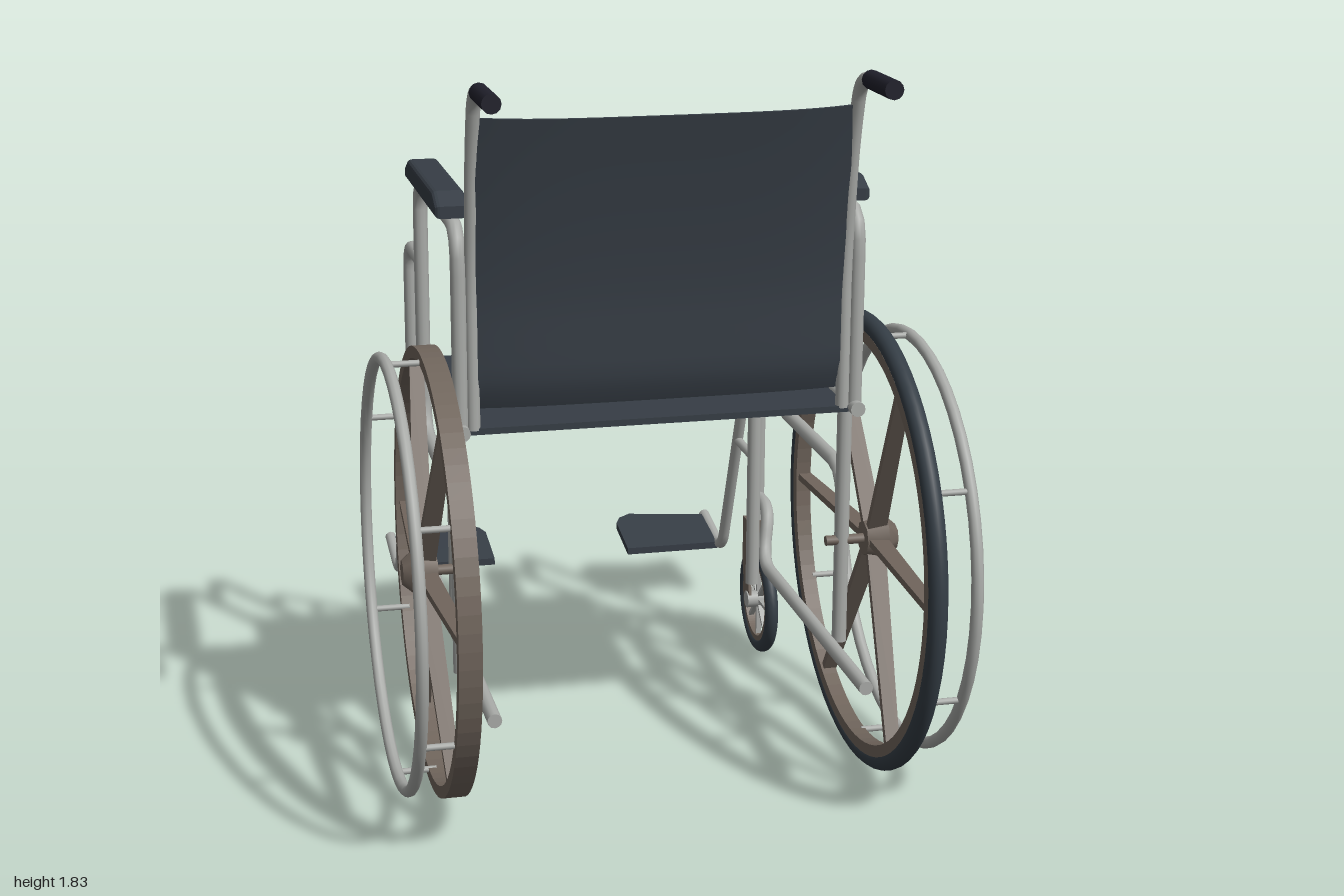
import * as THREE from 'three';

const mat = (name, color) => Object.assign(new THREE.MeshStandardMaterial({ color }), { name });

export function createModel() {
  const steel = mat('steel grey', 0xa9aba8);
  const brown = mat('brown metal', 0x70655c);
  const fabric = mat('dark fabric', 0x363d45);
  fabric.side = THREE.DoubleSide;
  const rubber = mat('rubber', 0x343d45);
  const gripMat = mat('grip black', 0x20202b);

  const model = new THREE.Group();
  model.name = 'wheelchair';
  const add = (parent, name, geo, material) => {
    const m = new THREE.Mesh(geo, material);
    m.name = name;
    parent.add(m);
    return m;
  };

  // Capped tube through points, with rounded corners of radius bend
  function tube(parent, name, pts, r = 0.019, bend = 0.07, material = steel) {
    const v = pts.map(p => new THREE.Vector3(...p));
    const path = new THREE.CurvePath();
    let prev = v[0];
    for (let i = 1; i < v.length - 1; i++) {
      const toA = v[i - 1].clone().sub(v[i]), toB = v[i + 1].clone().sub(v[i]);
      const d = Math.min(bend, toA.length() * 0.48, toB.length() * 0.48);
      const a = v[i].clone().add(toA.setLength(d)), b = v[i].clone().add(toB.setLength(d));
      path.add(new THREE.LineCurve3(prev, a));
      path.add(new THREE.QuadraticBezierCurve3(a, v[i], b));
      prev = b;
    }
    path.add(new THREE.LineCurve3(prev, v[v.length - 1]));
    const g = new THREE.Group();
    g.name = name;
    parent.add(g);
    add(g, name + 'Tube', new THREE.TubeGeometry(path, v.length > 2 ? 64 : 1, r, 12), material);
    for (const t of [0, 1]) {
      const cap = add(g, name + 'Cap', new THREE.CircleGeometry(r, 12), material);
      const dir = path.getTangentAt(t).multiplyScalar(t ? 1 : -1);
      cap.position.copy(path.getPointAt(t));
      cap.quaternion.setFromUnitVectors(new THREE.Vector3(0, 0, 1), dir);
    }
  }

  // Flat ring centred on z = 0
  function ring(outer, inner, depth) {
    const s = new THREE.Shape().absarc(0, 0, outer, 0, Math.PI * 2);
    s.holes.push(new THREE.Path().absarc(0, 0, inner, 0, Math.PI * 2, true));
    return new THREE.ExtrudeGeometry(s, { depth, bevelEnabled: false, curveSegments: 40 })
      .translate(0, 0, -depth / 2);
  }

  // Wheel groups are built with local z pointing outwards
  function wheelGroup(name, s, y, z) {
    const g = new THREE.Group();
    g.name = name;
    g.position.set(0, y, z);
    g.rotation.y = s * Math.PI / 2;
    model.add(g);
    return g;
  }

  function driveWheel(s) {
    const w = wheelGroup('driveWheel', s, 0.595, 0.41);
    const hasTyre = s > 0;
    add(w, 'rim', ring(0.555, 0.525, hasTyre ? 0.04 : 0.055), brown).position.z = hasTyre ? 0.549 : 0.553;
    if (hasTyre) add(w, 'tyre', new THREE.TorusGeometry(0.567, 0.0235, 14, 64), rubber).position.z = 0.549;
    add(w, 'handRim', new THREE.TorusGeometry(0.53, 0.015, 10, 48), steel).position.z = 0.66;
    for (let i = 0; i < 6; i++) {
      // Blade spoke leaning outwards to the hub
      const blade = new THREE.BoxGeometry(0.52, 0.018, 1).translate(0.275, 0, 0);
      const p = blade.attributes.position;
      for (let k = 0; k < p.count; k++) {
        const atHub = p.getX(k) < 0.2, out = p.getZ(k) > 0;
        p.setZ(k, atHub ? (out ? 0.605 : 0.555) : (out ? 0.57 : 0.535));
      }
      blade.computeVertexNormals();
      add(w, 'spoke', blade, brown).rotation.z = i * Math.PI / 3;
      const a = (i + 0.5) * Math.PI / 3, c = 0.53 * Math.cos(a), d = 0.53 * Math.sin(a);
      tube(w, 'handRimStrut', [[c, d, 0.56], [c, d, 0.66]], 0.008);
    }
    const cyl = (name, rOut, rIn, z0, z1, n) => add(w, name,
      new THREE.CylinderGeometry(rOut, rIn, z1 - z0, n).rotateX(Math.PI / 2).translate(0, 0, (z0 + z1) / 2), brown);
    cyl('hub', 0.058, 0.045, 0.55, 0.605, 8);
    cyl('hubCap', 0.032, 0.058, 0.605, 0.635, 8);
    cyl('axle', 0.013, 0.013, 0.45, 0.56, 12);
  }

  function caster(s) {
    const w = wheelGroup('casterWheel', s, 0.157, -0.347);
    const X = 0.493;
    add(w, 'casterTyre', new THREE.TorusGeometry(0.136, 0.019, 12, 40), rubber).position.z = X;
    add(w, 'casterRim', ring(0.122, 0.107, 0.026), brown).position.z = X;
    add(w, 'casterHub', new THREE.CylinderGeometry(0.024, 0.024, 0.075, 14).rotateX(Math.PI / 2), steel).position.z = X;
    for (let i = 0; i < 4; i++) {
      const spoke = add(w, 'casterSpoke', new THREE.BoxGeometry(0.22, 0.009, 0.014), steel);
      spoke.position.z = X;
      spoke.rotation.z = i * Math.PI / 4;
    }
    // Fork cheeks and crown
    const cheek = new THREE.Shape([[-0.018, -0.01], [0.012, -0.014], [0.04, 0.03], [0.058, 0.1], [0.058, 0.235],
      [0, 0.235], [0, 0.09], [-0.018, 0.012]].map(([z, y]) => new THREE.Vector2(z * s, y)));
    for (const o of [-0.034, 0.026]) {
      add(w, 'forkCheek', new THREE.ExtrudeGeometry(cheek, { depth: 0.008, bevelEnabled: false }), brown)
        .position.z = X + o;
    }
    add(w, 'forkCrown', new THREE.BoxGeometry(0.058, 0.06, 0.06), brown).position.set(0.029 * s, 0.205, X);
  }

  for (const s of [1, -1]) {
    driveWheel(s);
    caster(s);
    const X = 0.493 * s, P = 0.462 * s;
    const flat = (x, pts) => pts.map(([z, y]) => [x, y, z]);

    // Frame tubes, given as [z, y] at a fixed x
    tube(model, 'armFrame', flat(X, [[0.478, 0.97], [0.478, 1.465], [-0.155, 1.465], [-0.155, 0.785],
      [0.408, 0.785], [0.408, 0.32]]), 0.019, 0.085);
    tube(model, 'rearPost', flat(X, [[0.408, 0.97], [0.408, 0.32]]));
    tube(model, 'seatRail', flat(X, [[0.515, 0.97], [-0.2, 0.97]]));
    tube(model, 'frontFrame', flat(X, [[-0.155, 1.247], [-0.375, 1.247], [-0.375, 0.38]]));
    tube(model, 'lowerRail', [[P, 0.32, 0.73], [P, 0.32, -0.2], [X, 0.46, -0.26], [X, 0.46, -0.375]], 0.018);
    tube(model, 'innerPost', flat(0.418 * s, [[-0.155, 0.92], [-0.155, 0.28]]));
    tube(model, 'pushTube', flat(P, [[0.7, 1.807], [0.565, 1.807], [0.515, 1.64], [0.478, 1.35], [0.478, 0.97]]),
      0.017, 0.09);
    tube(model, 'pushGrip', flat(P, [[0.635, 1.807], [0.805, 1.807]]), 0.023, 0, gripMat);

    // Footrest hanger with strut
    tube(model, 'footrestHanger', flat(X, [[-0.375, 0.828], [-0.49, 0.828], [-0.765, 0.16], [-0.985, 0.203]]), 0.016);
    tube(model, 'hangerStrut', flat(X, [[-0.375, 0.56], [-0.6, 0.56]]), 0.013);

    // Foot plate, tilted up towards its tip
    const plate = new THREE.Shape([[0.485, 0.79], [0.205, 0.79], [0.205, 0.95], [0.22, 0.98], [0.255, 1.0],
      [0.485, 0.965]].map(([x, y]) => new THREE.Vector2(x * s, y)));
    const pg = new THREE.ExtrudeGeometry(plate, { depth: 0.02, bevelEnabled: false }).rotateX(-Math.PI / 2);
    const pp = pg.attributes.position;
    for (let i = 0; i < pp.count; i++) pp.setY(i, pp.getY(i) + 0.158 + (-pp.getZ(i) - 0.79) * 0.18);
    pg.computeVertexNormals();
    add(model, 'footPlate', pg, fabric);

    // Padded armrest from a side profile
    const pad = new THREE.Shape([[-0.418, 0.01], [-0.418, 0.02], [-0.37, 0.043], [0.05, 0.043], [0.097, 0.02],
      [0.097, 0.01]].map(([x, y]) => new THREE.Vector2(x, y)));
    const padGeo = new THREE.ExtrudeGeometry(pad, {
      depth: 0.054, bevelThickness: 0.013, bevelSize: 0.012, bevelSegments: 3,
    }).translate(0, 0, -0.027).rotateY(Math.PI / 2);
    add(model, 'armrestPad', padGeo, fabric).position.set(0.498 * s, 1.48, 0);
  }

  // Seat sling
  add(model, 'seat', new THREE.BoxGeometry(0.97, 0.016, 0.69), fabric).position.set(0, 0.967, 0.145);

  // Backrest sling: bulges to the rear and follows the bent push tubes
  const back = new THREE.BoxGeometry(0.93, 0.715, 0.012, 28, 20, 1);
  const b = back.attributes.position;
  for (let i = 0; i < b.count; i++) {
    const x = b.getX(i), v = b.getY(i) / 0.715 + 0.5, y = 1.02 + 0.715 * v;
    const lean = 0.06 * Math.pow(Math.max(0, (y - 1.25) / 0.485), 1.5);
    const edge = 1 - Math.pow(Math.abs(x) / 0.465, 4);
    const curl = 0.02 * Math.pow(Math.max(0, 1 - v / 0.12), 2);
    b.setXYZ(i, x, y - 0.008 * edge * v * v, 0.482 + lean + 0.018 * edge - curl + b.getZ(i));
  }
  back.computeVertexNormals();
  add(model, 'backrest', back, fabric);

  return model;
}
